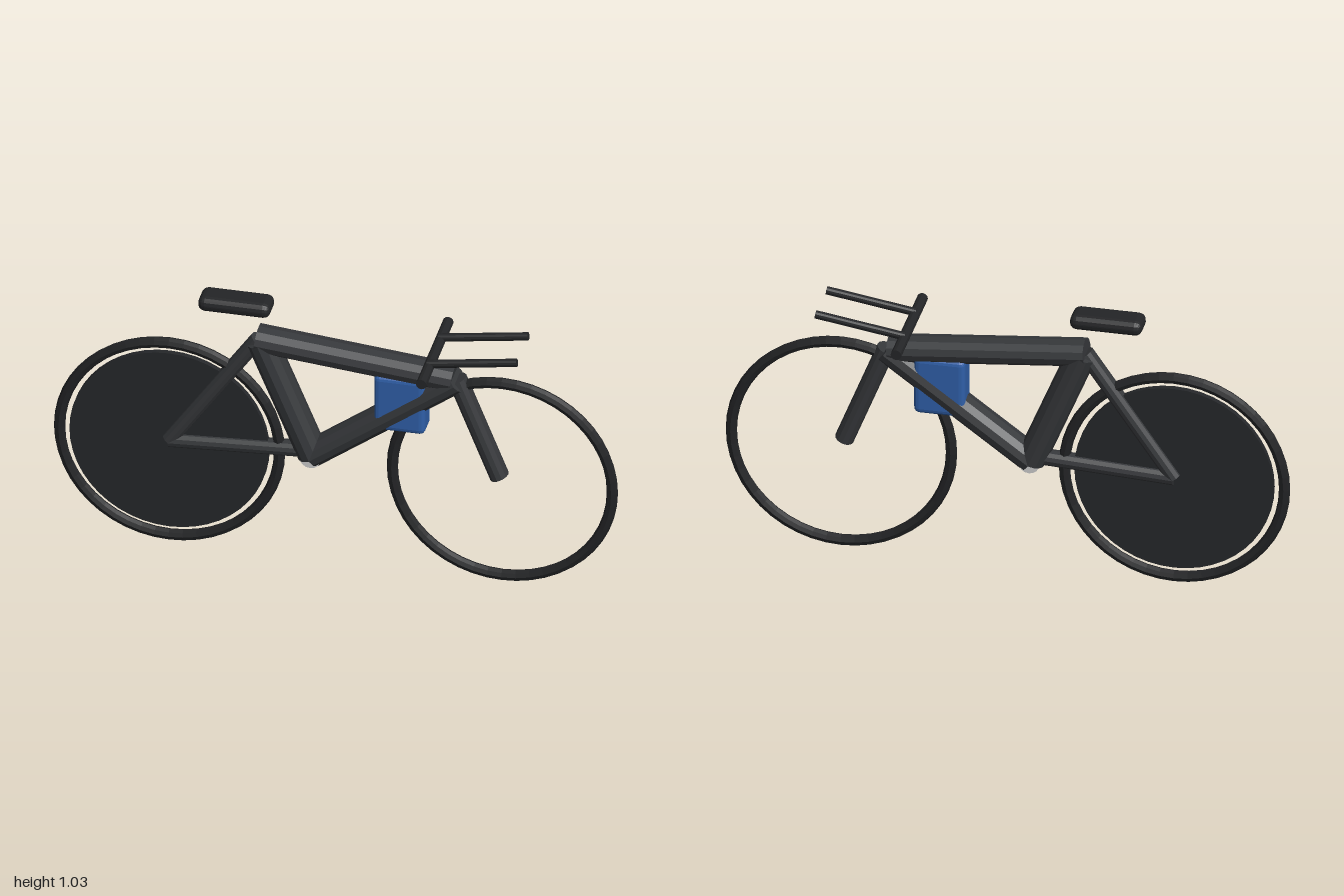
import * as THREE from 'three';
import { RoundedBoxGeometry } from 'three/addons/geometries/RoundedBoxGeometry.js';

const mat = (color) => new THREE.MeshStandardMaterial({ color, flatShading: true });

export function createModel() {
  const bike = new THREE.Group();
  const frameMat = mat(0x35373a), rubber = mat(0x222325), barMat = mat(0x242527);
  const discMat = mat(0x25272a), blue = mat(0x2f5fa8), grey = mat(0xcccccc);

  const add = (name, geometry, material, x = 0, y = 0, z = 0) => {
    const mesh = new THREE.Mesh(geometry, material);
    mesh.name = name;
    mesh.position.set(x, y, z);
    bike.add(mesh);
    return mesh;
  };

  // Straight tube in a plane of constant z, with an oval section
  const tube = (name, [x1, y1], [x2, y2], thick, wide, material = frameMat, z = 0) => {
    const length = Math.hypot(x2 - x1, y2 - y1);
    const geometry = new THREE.CylinderGeometry(0.5, 0.5, length, 12);
    geometry.scale(thick, 1, wide);
    const mesh = add(name, geometry, material, (x1 + x2) / 2, (y1 + y2) / 2, z);
    mesh.rotation.z = Math.atan2(y2 - y1, x2 - x1) - Math.PI / 2;
    return mesh;
  };

  // Cylinder whose axis runs across the bike
  const across = (name, radius, width, sides, material, x, y) => {
    const geometry = new THREE.CylinderGeometry(radius, radius, width, sides).rotateX(Math.PI / 2);
    return add(name, geometry, material, x, y);
  };

  // Wheels: open front hoop, rear hoop with a solid disc
  const rear = [-0.59, 0.413], front = [0.59, 0.413];
  add('rearTyre', new THREE.TorusGeometry(0.39, 0.02, 8, 48), rubber, ...rear);
  add('frontTyre', new THREE.TorusGeometry(0.39, 0.02, 8, 48), rubber, ...front);
  across('rearDisc', 0.353, 0.02, 48, discMat, ...rear);

  // Frame
  const bracket = [-0.083, 0.425], seat = [-0.265, 0.865], head = [0.43, 0.8];
  tube('topTube', [-0.278, 0.869], [0.418, 0.802], 0.095, 0.12);
  tube('seatTube', bracket, seat, 0.105, 0.12);
  tube('downTube', bracket, head, 0.095, 0.12);
  tube('chainStay', rear, [-0.085, 0.44], 0.057, 0.066);
  tube('seatStay', rear, [-0.275, 0.865], 0.057, 0.066);
  tube('fork', head, [0.58, 0.423], 0.068, 0.076);
  across('bottomBracket', 0.037, 0.08, 16, grey, -0.083, 0.424);

  // Saddle and frame bag
  add('saddle', new RoundedBoxGeometry(0.256, 0.055, 0.104, 2, 0.025), barMat, -0.354, 1.001);
  add('frameBag', new RoundedBoxGeometry(0.182, 0.222, 0.104, 2, 0.02), blue, 0.234, 0.691);

  // Handlebar with two forward extensions
  across('handlebar', 0.019, 0.42, 12, barMat, 0.35, 0.893);
  for (const side of [-1, 1]) {
    tube(side > 0 ? 'frontExtension' : 'backExtension',
      [0.345, 0.902], [0.662, 0.951], 0.029, 0.029, barMat, side * 0.088);
  }
  return bike;
}
